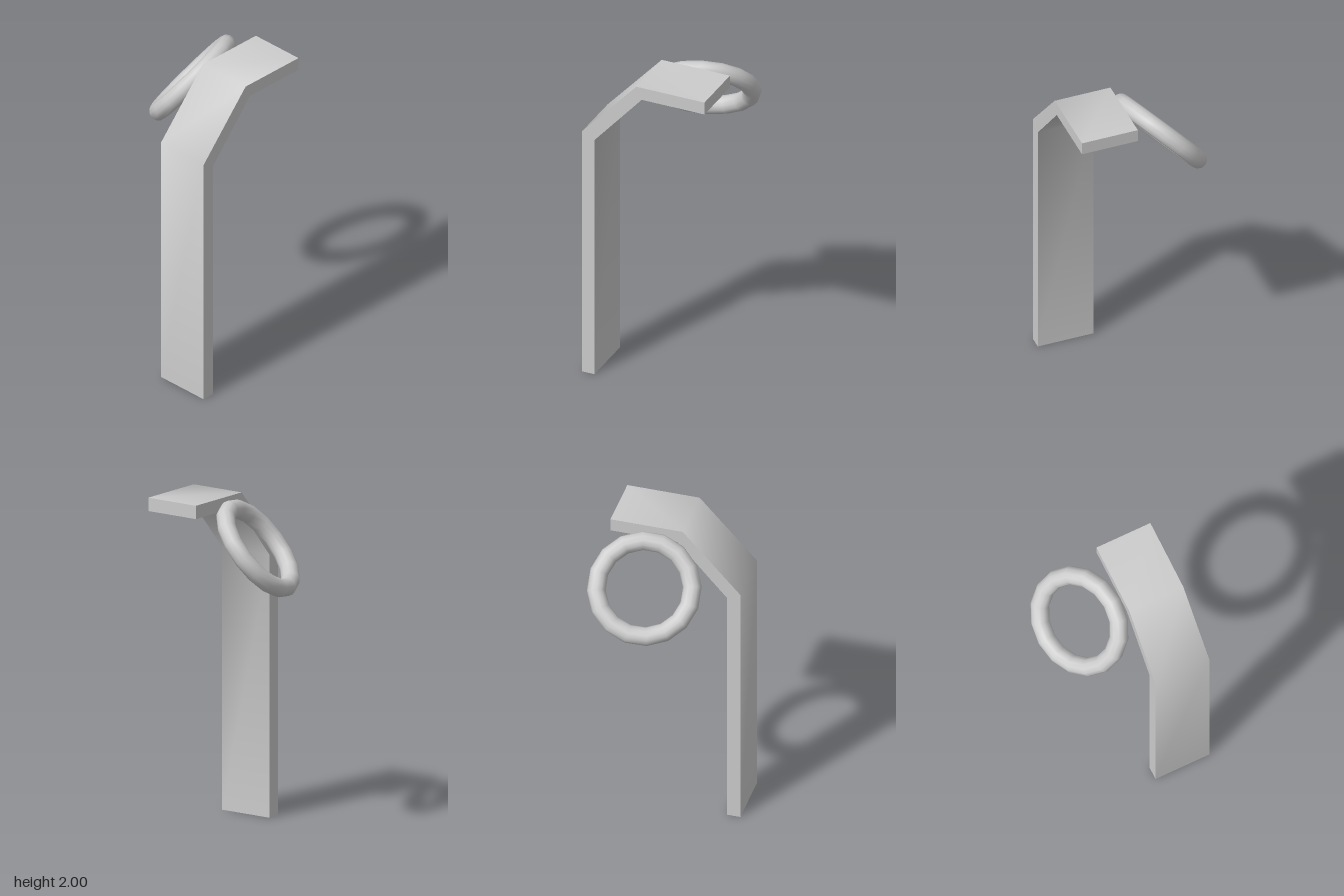
import * as THREE from 'three';
import { toCreasedNormals } from 'three/addons/utils/BufferGeometryUtils.js';

export function createModel() {
  const model = new THREE.Group();
  const material = new THREE.MeshStandardMaterial({ color: 0xcccccc });

  // Bent flat strip: upright, sloped shoulder and level top
  const profile = new THREE.Shape([
    [-0.42, 0], [-0.34, 0], [-0.34, 1.575], [-0.035, 1.92],
    [0.37, 1.92], [0.37, 2], [-0.07, 2], [-0.42, 1.615],
  ].map(([x, y]) => new THREE.Vector2(x, y)));
  const strip = new THREE.ExtrudeGeometry(profile, { depth: 0.35, bevelEnabled: false });
  strip.translate(0, 0, 0.07);
  const bracket = new THREE.Mesh(toCreasedNormals(strip, Math.PI / 3), material);
  bracket.name = 'bentBracket';
  model.add(bracket);

  // Tilted ring resting against the back edge of the bracket
  const ring = new THREE.Mesh(new THREE.TorusGeometry(0.281, 0.055, 12, 16), material);
  ring.name = 'ring';
  const axis = new THREE.Vector3(-0.25, 0.63, -0.734).normalize();
  const side = new THREE.Vector3(0.06, -0.26, -0.245).projectOnPlane(axis).normalize();
  const up = new THREE.Vector3().crossVectors(axis, side);
  ring.quaternion.setFromRotationMatrix(new THREE.Matrix4().makeBasis(side, up, axis));
  ring.position.set(0.092, 1.728, -0.175);
  model.add(ring);

  return model;
}
